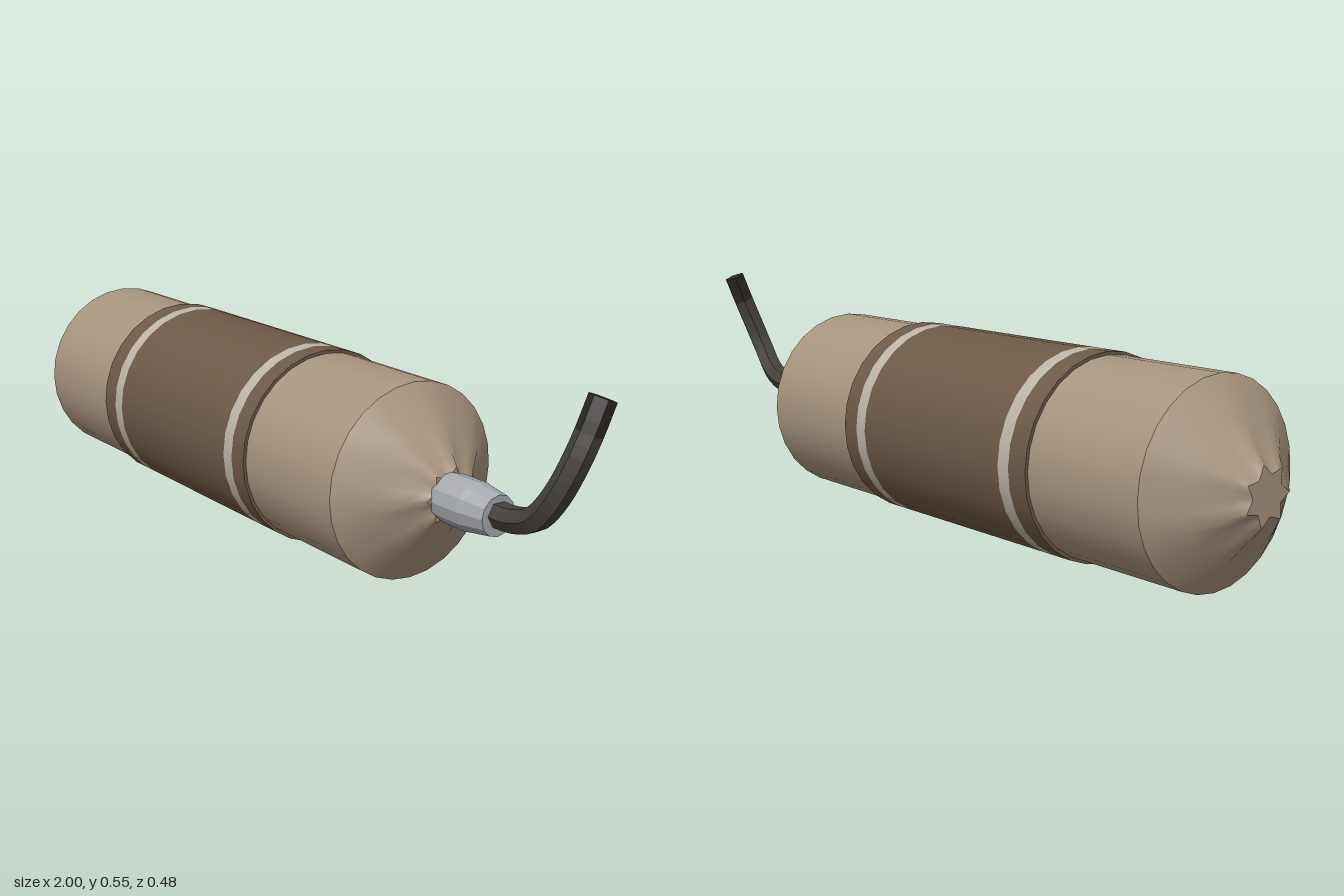
import * as THREE from 'three';

const SIDES = 28, AXIS_Y = 0.241, R_BODY = 0.232, R_WRAP = 0.24;

const mat = (color, opts = {}) => {
  const m = new THREE.MeshStandardMaterial(opts);
  m.color.set(color);
  return m;
};

export function createModel() {
  const group = new THREE.Group();
  const paper = mat(0xa8947e), wrapMat = mat(0x6d5946), stripeMat = mat(0xbcb5a6);
  const metal = mat(0xa6a9ad, { flatShading: true });
  const cord = mat(0x45413c, { flatShading: true }), burnt = mat(0x2c2825, { flatShading: true });

  const add = (name, geometry, material, onAxis = true) => {
    const mesh = new THREE.Mesh(geometry, material);
    mesh.name = name;
    if (onAxis) mesh.position.y = AXIS_Y;
    group.add(mesh);
    return mesh;
  };

  // Cylinder lying along x between two positions
  const tube = (name, x0, x1, r, material, open) => {
    const g = new THREE.CylinderGeometry(r, r, x1 - x0, SIDES, 1, open);
    g.rotateZ(-Math.PI / 2).translate((x0 + x1) / 2, 0, 0);
    return add(name, g, material);
  };

  tube('paperBody', -0.87, 0.46, R_BODY, paper, true);

  // Wrapper with two pale stripes
  tube('wrapperLeftEdge', -0.545, -0.49, R_WRAP, wrapMat, false);
  tube('stripeLeft', -0.49, -0.455, R_WRAP, stripeMat, true);
  tube('wrapperMiddle', -0.455, 0.045, R_WRAP, wrapMat, false);
  tube('stripeRight', 0.045, 0.08, R_WRAP, stripeMat, true);
  tube('wrapperRightEdge', 0.08, 0.13, R_WRAP, wrapMat, false);

  // Gathered paper ends: seven pleats that deepen towards the tip
  const rings = [
    { d: 0, r: R_BODY, f: [1, 1, 1, 1] },
    { d: 0.06, r: 0.157, f: [1, 0.98, 0.95, 0.98] },
    { d: 0.108, r: 0.095, f: [1, 0.87, 0.79, 0.87] },
    { d: 0.132, r: 0.068, f: [1, 0.76, 0.66, 0.76] },
  ];
  const ringPoint = (ring, i, x, dir) => {
    const a = (i / SIDES) * Math.PI * 2, r = ring.r * ring.f[i % 4];
    return [x + dir * ring.d, r * Math.sin(a), r * Math.cos(a)];
  };
  const gatheredEnd = (name, x, dir) => {
    const pos = [], idx = [];
    const face = (a, b, c) => idx.push(...(dir > 0 ? [a, c, b] : [a, b, c]));
    rings.forEach((ring, k) => {
      for (let i = 0; i < SIDES; i++) {
        pos.push(...ringPoint(ring, i, x, dir));
        if (k === 0) continue;
        const j = (i + 1) % SIDES, p = (k - 1) * SIDES, q = k * SIDES;
        face(p + i, p + j, q + j);
        face(p + i, q + j, q + i);
      }
    });
    // Flat star closing the tip, with its own vertices for a sharp edge
    const last = rings[rings.length - 1], base = pos.length / 3;
    for (let i = 0; i < SIDES; i++) {
      pos.push(...ringPoint(last, i, x, dir));
      face(base + i, base + (i + 1) % SIDES, base + SIDES);
    }
    pos.push(x + dir * last.d, 0, 0);
    const g = new THREE.BufferGeometry();
    g.setAttribute('position', new THREE.Float32BufferAttribute(pos, 3));
    g.setIndex(idx);
    g.computeVertexNormals();
    add(name, g, paper);
  };
  gatheredEnd('gatheredEndRight', 0.46, 1);
  gatheredEnd('gatheredEndLeft', -0.87, -1);

  // Metal collar
  const profile = [[0, 0.575], [0.053, 0.575], [0.058, 0.6], [0.058, 0.675], [0.055, 0.69],
    [0.047, 0.745], [0, 0.745]].map(([r, x]) => new THREE.Vector2(r, x));
  add('collar', new THREE.LatheGeometry(profile, 12).rotateZ(-Math.PI / 2), metal);

  // Bent cord, its last stretch darkened
  const path = new THREE.CatmullRomCurve3([
    [0.72, 0.245, 0], [0.79, 0.246, 0], [0.86, 0.27, 0.006], [0.915, 0.33, 0.008],
    [0.945, 0.4, -0.007], [0.96, 0.47, -0.03], [0.967, 0.54, -0.056],
  ].map((p) => new THREE.Vector3(...p)));
  const SEGS = 18, HEX = 6, TIP = 3;
  const full = new THREE.TubeGeometry(path, SEGS, 0.03, HEX);
  const indices = Array.from(full.index.array);
  const part = (name, from, to, material) => {
    const g = full.clone();
    g.setIndex(indices.slice(from * HEX * 6, to * HEX * 6));
    add(name, g.toNonIndexed(), material, false);
  };
  part('cord', 0, SEGS - TIP, cord);
  part('cordTip', SEGS - TIP, SEGS, burnt);

  // Cap over the cord's end, taken from its last ring
  const rim = [];
  for (let i = 0; i < HEX; i++) {
    rim.push(new THREE.Vector3().fromBufferAttribute(full.attributes.position, SEGS * (HEX + 1) + i));
  }
  const cap = new THREE.BufferGeometry().setFromPoints(rim);
  cap.setIndex([0, 1, 2, 0, 2, 3, 0, 3, 4, 0, 4, 5]);
  cap.computeVertexNormals();
  const capMat = burnt.clone();
  capMat.side = THREE.DoubleSide;
  add('cordTipCap', cap, capMat, false);

  return group;
}
